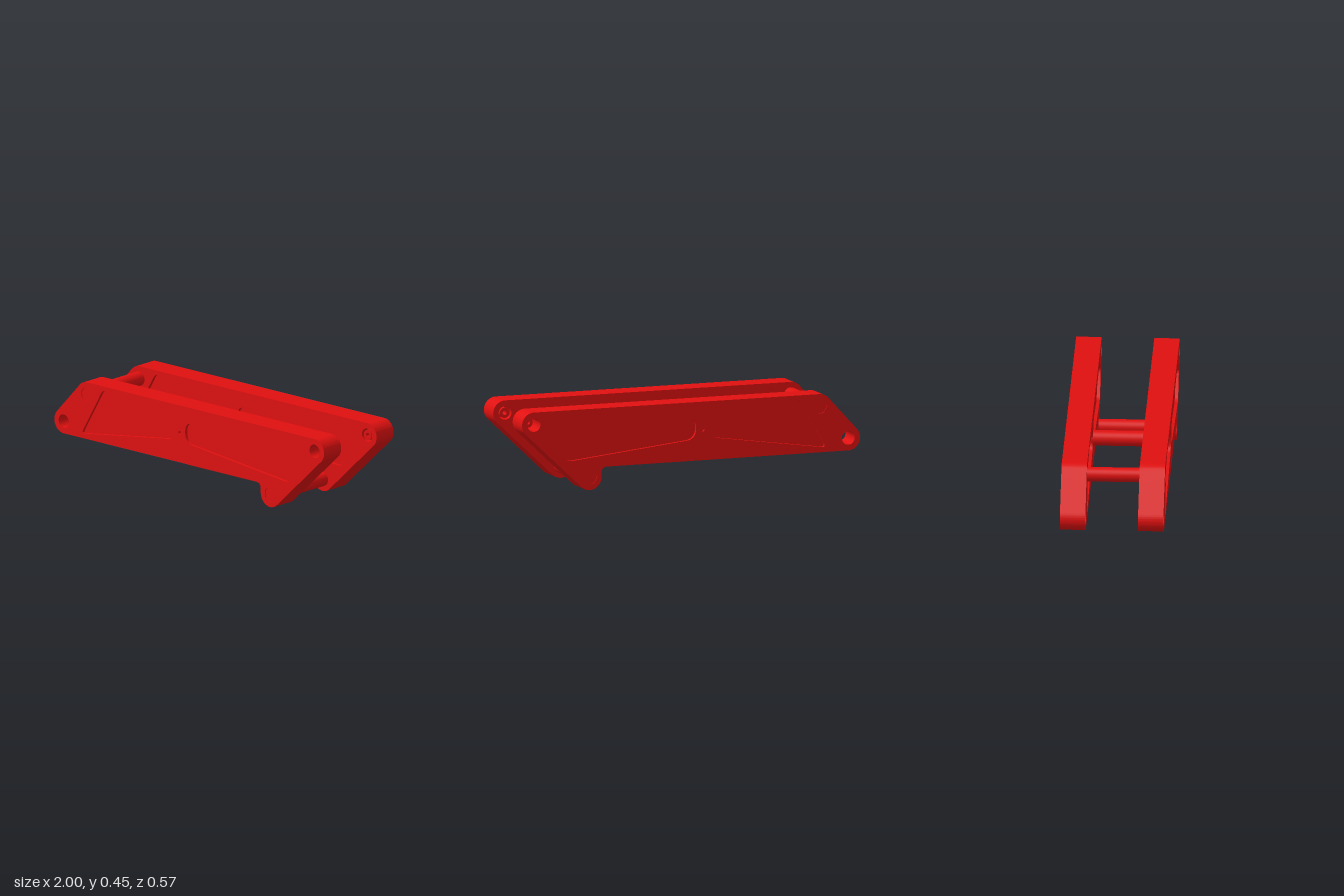
import * as THREE from 'three';
import { toCreasedNormals } from 'three/addons/utils/BufferGeometryUtils.js';

const INNER = 0.145, OUTER = 0.285, POCKET = 0.018, R = 0.07;
const rearEye = [-0.93, 0.195], topRod = [-0.76, 0.38], midRod = [-0.07, 0.295];
const frontEye = [0.93, 0.383], lowRod = [0.6, 0.07];

// Side plate silhouette: rounded lobes joined by tangent lines
function outline() {
  const s = new THREE.Shape();
  const rear = Math.atan2(topRod[1] - rearEye[1], topRod[0] - rearEye[0]) + Math.PI / 2;
  const front = Math.atan2(lowRod[1] - frontEye[1], lowRod[0] - frontEye[0]) + Math.PI / 2;
  s.absarc(...rearEye, R, -Math.PI / 2, rear, true);
  s.absarc(...topRod, R, rear, Math.PI / 2, true);
  s.absarc(...frontEye, R, Math.PI / 2, front, true);
  s.absarc(...lowRod, R, front, Math.PI, true);
  s.absarc(0.5, 0.095, 0.03, 0, Math.PI / 2, false);
  s.closePath();
  return s;
}

function circle([x, y], r) {
  return new THREE.Path().absarc(x, y, r, 0, Math.PI * 2, false);
}

// Closed polygon with its corners rounded; each point is [x, y, radius]
function roundedPath(points) {
  const path = new THREE.Path();
  const v = points.map(([x, y]) => new THREE.Vector2(x, y));
  const n = v.length;
  points.forEach(([, , r], i) => {
    const toward = (q) => v[i].clone().add(q.clone().sub(v[i]).setLength(r));
    const a = toward(v[(i + n - 1) % n]), b = toward(v[(i + 1) % n]);
    if (i === 0) path.moveTo(a.x, a.y);
    else path.lineTo(a.x, a.y);
    path.quadraticCurveTo(v[i].x, v[i].y, b.x, b.y);
  });
  path.closePath();
  return path;
}

const pockets = () => [
  roundedPath([[-0.8, 0.15, 0.03], [-0.11, 0.25, 0.05], [-0.11, 0.375, 0.07], [-0.64, 0.43, 0.03]]),
  roundedPath([[-0.03, 0.245, 0.06], [0.74, 0.165, 0.04], [0.85, 0.31, 0.03],
    [0.72, 0.41, 0.04], [-0.03, 0.36, 0.05]]),
];

// Extrude a shape between two depths
function slab(shape, z0, z1) {
  const g = new THREE.ExtrudeGeometry(shape, { depth: z1 - z0, bevelEnabled: false, curveSegments: 20 });
  return toCreasedNormals(g.translate(0, 0, z0), 0.6);
}

export function createModel() {
  const model = new THREE.Group();
  const material = new THREE.MeshStandardMaterial({ color: 0xe01010 });
  const add = (parent, name, geometry) => {
    const mesh = new THREE.Mesh(geometry, material);
    mesh.name = name;
    parent.add(mesh);
    return mesh;
  };

  // Plate core, with skins on both faces that leave the shallow pockets open
  const eyes = () => [circle(rearEye, 0.038), circle(frontEye, 0.038)];
  const core = outline();
  core.holes.push(...eyes());
  const innerSkin = outline();
  innerSkin.holes.push(...eyes(), ...pockets());
  const outerSkin = outline();
  outerSkin.holes.push(...eyes(), ...pockets(), circle(midRod, 0.01),
    circle(topRod, 0.04), circle(lowRod, 0.04));

  // Ring seated inside the front eye
  const ring = new THREE.Shape().absarc(...frontEye, 0.029, 0, Math.PI * 2, false);
  ring.holes.push(circle(frontEye, 0.012));

  const parts = [
    ['plateCore', slab(core, INNER + POCKET, OUTER - POCKET)],
    ['plateInnerSkin', slab(innerSkin, INNER, INNER + POCKET)],
    ['plateOuterSkin', slab(outerSkin, OUTER - POCKET, OUTER)],
    ['eyeBushing', slab(ring, INNER + 0.005, INNER + 0.05)],
  ];

  // Two matching plates, the second turned into a mirror image
  for (const side of [1, -1]) {
    const plate = new THREE.Group();
    plate.name = side > 0 ? 'frontSidePlate' : 'backSidePlate';
    plate.scale.z = side;
    parts.forEach(([name, geometry]) => add(plate, name, geometry));
    model.add(plate);
  }

  // Cross rods; the outer two reach almost flush with the outer faces
  const rods = [
    ['topRod', topRod, 0.04, OUTER - 0.005],
    ['middleRod', midRod, 0.043, INNER + 0.01],
    ['lowerRod', lowRod, 0.04, OUTER - 0.005],
  ];
  for (const [name, [x, y], r, reach] of rods) {
    const rod = add(model, name, new THREE.CylinderGeometry(r, r, reach * 2, 40));
    rod.rotation.x = Math.PI / 2;
    rod.position.set(x, y, 0);
  }
  return model;
}
